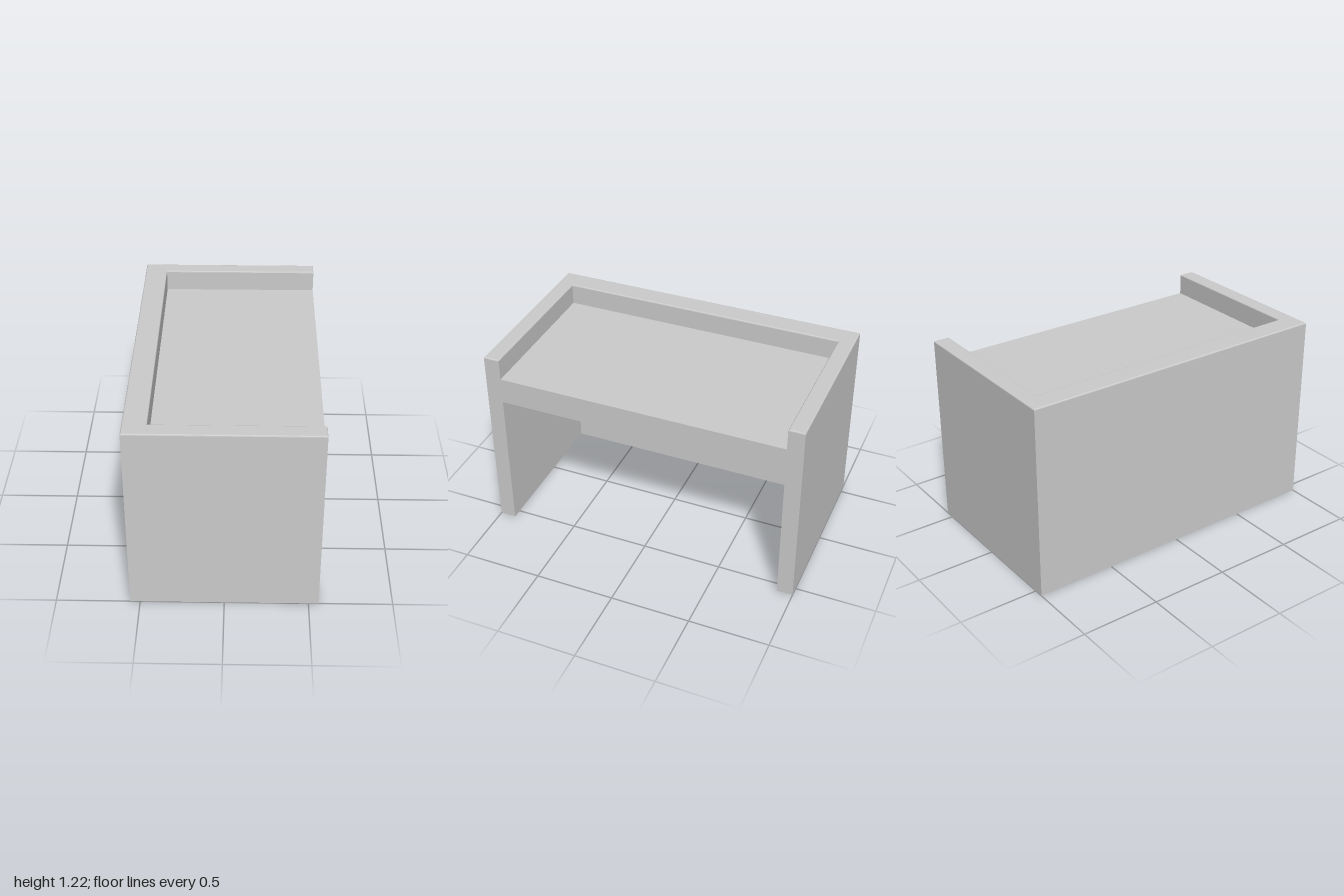
import * as THREE from 'three';

const HALF_X = 0.56, HALF_Z = 1, HEIGHT = 1.215;
const SIDE = 0.1, BACK = 0.14, BEVEL = 0.008;

export function createModel() {
  const group = new THREE.Group();
  group.name = 'bench';
  const material = new THREE.MeshStandardMaterial({ color: 0xcccccc });

  // U-shaped wall: two side panels joined by the back, open towards +x
  const innerX = -HALF_X + BACK, innerZ = HALF_Z - SIDE;
  const outline = new THREE.Shape([
    [-HALF_X, -HALF_Z], [HALF_X, -HALF_Z], [HALF_X, -innerZ], [innerX, -innerZ],
    [innerX, innerZ], [HALF_X, innerZ], [HALF_X, HALF_Z], [-HALF_X, HALF_Z],
  ].map(([x, z]) => new THREE.Vector2(x, z)));
  const wall = new THREE.ExtrudeGeometry(outline, {
    depth: HEIGHT - BEVEL, bevelEnabled: true, bevelThickness: BEVEL,
    bevelSize: BEVEL, bevelOffset: -BEVEL, bevelSegments: 3,
  });
  wall.rotateX(-Math.PI / 2);
  // Rounded rim only on top: flatten the lower bevel to a square foot
  const pos = wall.attributes.position;
  for (let i = 0; i < pos.count; i++) pos.setY(i, Math.max(0, pos.getY(i)));
  wall.computeVertexNormals();
  const wallMesh = new THREE.Mesh(wall, material);
  wallMesh.name = 'sideAndBackPanels';
  group.add(wallMesh);

  // Seat board between the panels, flush with their open edges
  const bottom = 0.915, top = 1.08;
  const seat = new THREE.Mesh(
    new THREE.BoxGeometry(HALF_X - innerX, top - bottom, innerZ * 2), material);
  seat.position.set((HALF_X + innerX) / 2, (top + bottom) / 2, 0);
  seat.name = 'seat';
  group.add(seat);

  return group;
}
